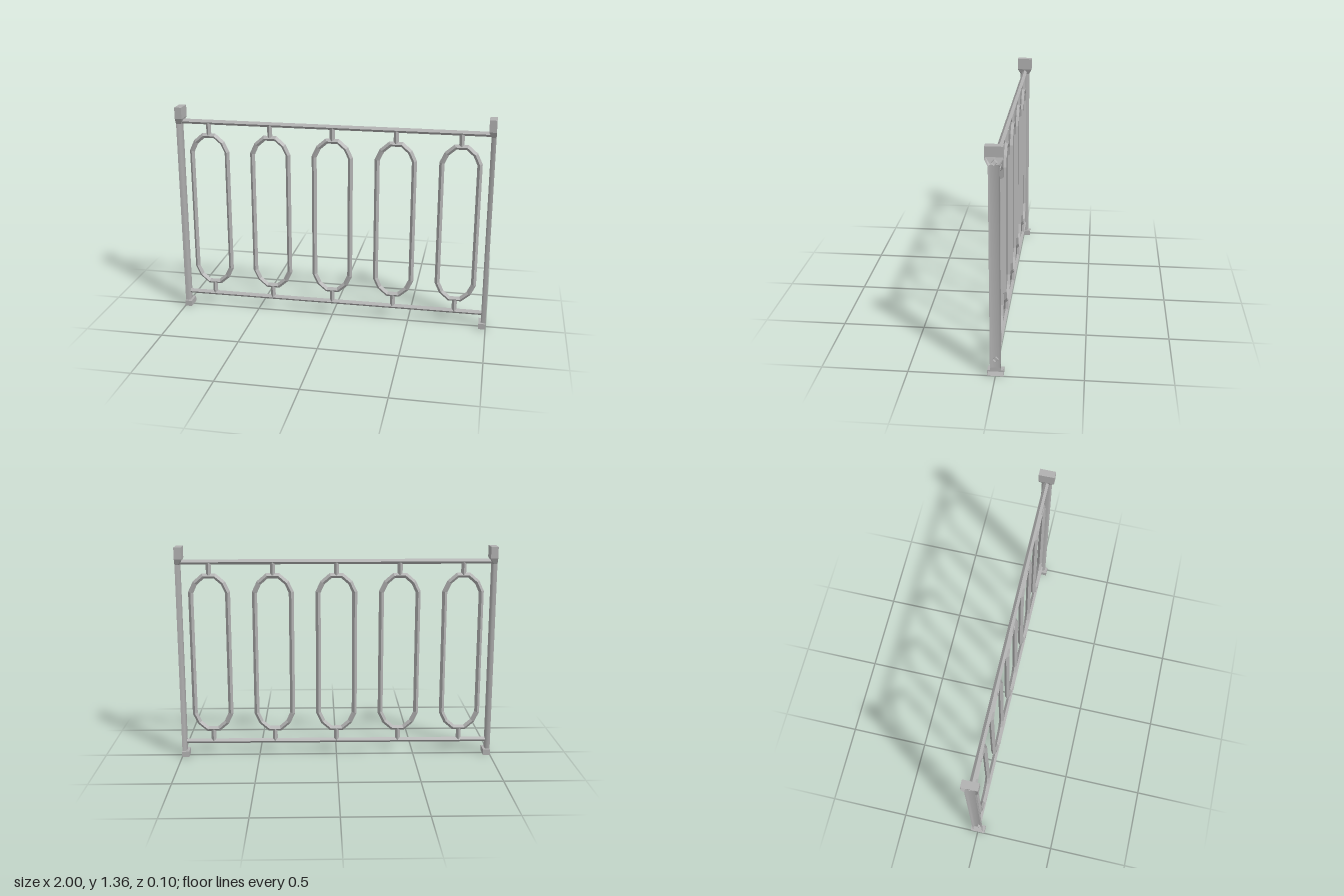
import * as THREE from 'three';

const steel = new THREE.MeshStandardMaterial({ color: 0xb0b0b0, side: THREE.DoubleSide });
steel.name = 'steel grey';

const flat = (geometry) => {
  const g = geometry.toNonIndexed();
  g.computeVertexNormals();
  return g;
};

// Skin a list of cross-sections that all have the same number of points
function loft(rows, smooth = false) {
  const n = rows[0].length;
  const index = [];
  for (let r = 0; r < rows.length - 1; r++) {
    for (let i = 0; i < n - 1; i++) {
      const a = r * n + i, b = a + 1, c = a + n, d = c + 1;
      index.push(a, c, b, b, c, d);
    }
  }
  const g = new THREE.BufferGeometry();
  g.setAttribute('position', new THREE.Float32BufferAttribute(rows.flat(2), 3));
  g.setIndex(index);
  if (!smooth) return flat(g);
  g.computeVertexNormals();
  return g;
}

function add(parent, name, geometry, x = 0, y = 0, z = 0) {
  const mesh = new THREE.Mesh(geometry, steel);
  mesh.name = name;
  mesh.position.set(x, y, z);
  parent.add(mesh);
  return mesh;
}

// U-shaped half section, open at x = 1: width w inward, half depth d, corner c
const half = (y, w, d, c = 0) => [
  [1, y, d], [1 - w + c, y, d], [1 - w, y, d - c],
  [1 - w, y, c - d], [1 - w + c, y, -d], [1, y, -d],
];

// Hollow half post, open on its outer side
function makePost(name) {
  const post = new THREE.Group();
  post.name = name;
  add(post, 'postFoot', loft([
    half(0, 0, 0), half(0, 0.045, 0.046), half(0.037, 0.045, 0.046), half(0.037, 0.03, 0.031, 0.01),
  ]));
  add(post, 'postShaft', loft([half(0.037, 0.03, 0.031, 0.01), half(1.25, 0.03, 0.031, 0.01)], true));
  add(post, 'postCap', loft([
    half(1.25, 0.03, 0.031, 0.01), half(1.287, 0.045, 0.049), half(1.36, 0.045, 0.049), half(1.36, 0, 0),
  ]));
  return post;
}

// Diamond-section bar, open at both ends
const R = 0.016;
const bar = (length) => flat(new THREE.CylinderGeometry(R, R, length, 4, 1, true));

// Elongated twelve-sided ring with a mitred diamond section
function ringGeometry() {
  const quarter = [[0.115, 0.395], [0.087, 0.455], [0.036, 0.499]];
  const upper = [...quarter, ...quarter.map(([x, y]) => [-x, y]).reverse()];
  const path = [...upper, ...upper.map(([x, y]) => [-x, -y])].map(([x, y]) => new THREE.Vector2(x, y));
  const n = path.length;
  const edgeNormal = (a, b) => new THREE.Vector2(b.y - a.y, a.x - b.x).normalize();
  const rows = path.map((p, i) => {
    const n1 = edgeNormal(path[(i + n - 1) % n], p);
    const n2 = edgeNormal(p, path[(i + 1) % n]);
    const m = n1.clone().add(n2).normalize();
    m.multiplyScalar(R / m.dot(n1));
    const outer = [p.x + m.x, p.y + m.y, 0];
    return [outer, [p.x, p.y, R], [p.x - m.x, p.y - m.y, 0], [p.x, p.y, -R], outer];
  });
  return loft([...rows, rows[0]]);
}

export function createModel() {
  const railing = new THREE.Group();
  railing.name = 'railing';

  // End posts
  railing.add(makePost('leftPost'));
  const rightPost = makePost('rightPost');
  rightPost.scale.x = -1;
  railing.add(rightPost);

  // Horizontal rails
  const rail = bar(1.97).rotateZ(Math.PI / 2);
  add(railing, 'topRail', rail, 0, 1.265);
  add(railing, 'bottomRail', rail, 0, 0.095);

  // Rings with short struts to the rails
  const ring = ringGeometry();
  const strut = bar(0.08);
  for (let i = -2; i <= 2; i++) {
    const panel = new THREE.Group();
    panel.name = 'ringPanel';
    panel.position.x = i * 0.398;
    add(panel, 'ring', ring, 0, 0.678);
    add(panel, 'upperStrut', strut, 0, 1.221);
    add(panel, 'lowerStrut', strut, 0, 0.137);
    railing.add(panel);
  }
  return railing;
}
